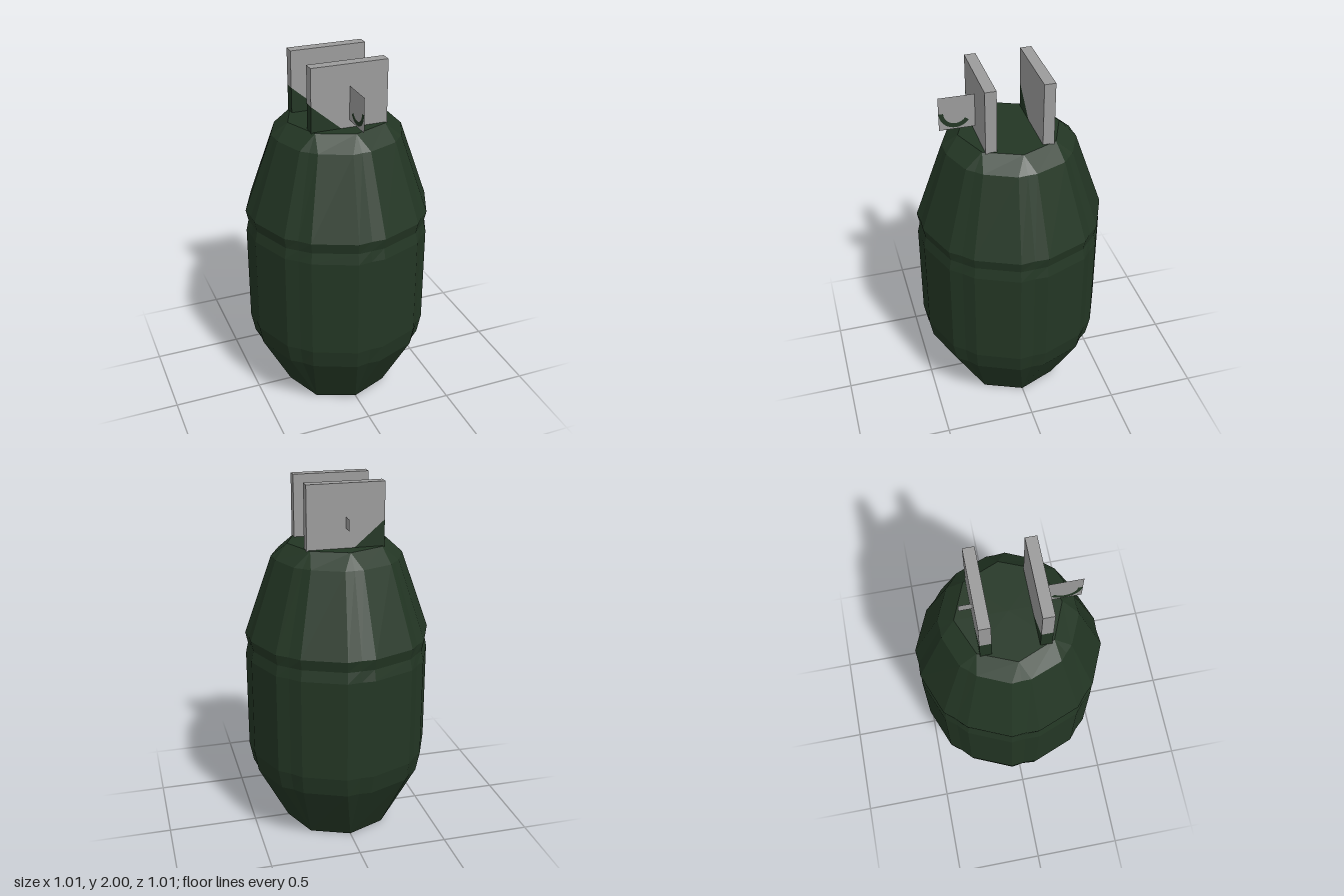
import * as THREE from 'three';

const green = new THREE.MeshStandardMaterial({ color: 0x233624, side: THREE.DoubleSide });
green.name = 'dark green';
const grey = new THREE.MeshStandardMaterial({ color: 0x9b9b9b, side: THREE.DoubleSide });
grey.name = 'steel grey';

function addMesh(group, name, geometry, material) {
  const mesh = new THREE.Mesh(geometry, material);
  mesh.name = name;
  group.add(mesh);
  return mesh;
}

// Eight-panelled shell: each panel corner splits into a shallow groove of three points
function bodyGeometry() {
  // height, panel radius, groove half angle in degrees, groove radius
  const rings = [
    [0, 0.3, 0, 0.3],
    [0.36, 0.49, 8, 0.475],
    [0.47, 0.511, 8.5, 0.498],
    [1.03, 0.511, 8.5, 0.498],
    [1.09, 0.498, 8.5, 0.49],
    [1.15, 0.511, 8.5, 0.498],
    [1.585, 0.358, 8, 0.35],
    [1.66, 0.275, 0, 0.275],
  ].map(([y, r, half, groove]) => {
    const points = [];
    for (let k = 0; k < 8; k++) {
      for (const side of [-1, 0, 1]) {
        const a = THREE.MathUtils.degToRad(45 * k + side * half);
        const radius = side === 0 ? groove : side > 0 && half ? r - 0.005 : r;
        points.push(new THREE.Vector3(radius * Math.sin(a), y, radius * Math.cos(a)));
      }
    }
    return points;
  });

  const positions = [];
  const triangle = (a, b, c) => {
    if (a.distanceTo(b) < 1e-5 || b.distanceTo(c) < 1e-5 || c.distanceTo(a) < 1e-5) return;
    for (const p of [a, b, c]) positions.push(p.x, p.y, p.z);
  };
  const bottom = new THREE.Vector3(0, 0, 0);
  const top = new THREE.Vector3(0, 1.66, 0);
  const last = rings[rings.length - 1];
  for (let i = 0; i < 24; i++) {
    const j = (i + 1) % 24;
    for (let k = 0; k < rings.length - 1; k++) {
      const lower = rings[k], upper = rings[k + 1];
      triangle(lower[i], lower[j], upper[j]);
      triangle(lower[i], upper[j], upper[i]);
    }
    triangle(bottom, rings[0][j], rings[0][i]);
    triangle(top, last[i], last[j]);
  }
  const geometry = new THREE.BufferGeometry();
  geometry.setAttribute('position', new THREE.Float32BufferAttribute(positions, 3));
  geometry.computeVertexNormals();
  return geometry;
}

// Flat outline given a thickness in z
function slab(points, z, depth) {
  const shape = new THREE.Shape(points.map(([x, y]) => new THREE.Vector2(x, y)));
  return new THREE.ExtrudeGeometry(shape, { depth, bevelEnabled: false }).translate(0, 0, z);
}

// Upright sheet in the x = 0 plane
function sheet(group, name, z0, z1, y0, y1) {
  const geometry = new THREE.PlaneGeometry(Math.abs(z1 - z0), y1 - y0).rotateY(Math.PI / 2);
  geometry.translate(0, (y0 + y1) / 2, (z0 + z1) / 2);
  addMesh(group, name, geometry, grey);
}

export function createModel() {
  const model = new THREE.Group();
  model.name = 'canister';
  addMesh(model, 'body', bodyGeometry(), green);

  // Pair of upright plates, each with one green lower corner
  for (const [name, z] of [['frontPlate', 0.12], ['backPlate', -0.18]]) {
    const plate = new THREE.Group();
    plate.name = name;
    addMesh(plate, 'platePanel',
      slab([[-0.04, 1.655], [0.21, 1.655], [0.21, 2], [-0.21, 2], [-0.21, 1.8]], z, 0.06), grey);
    addMesh(plate, 'plateCorner', slab([[-0.21, 1.655], [-0.04, 1.655], [-0.21, 1.8]], z, 0.06), green);
    model.add(plate);
  }

  // Thin tabs standing out from the plates
  sheet(model, 'frontTab', 0.18, 0.37, 1.7, 1.885);
  sheet(model, 'backTab', -0.245, -0.18, 1.765, 1.825);

  // Painted arc on both faces of the front tab
  for (const x of [-0.002, 0.002]) {
    const arc = new THREE.RingGeometry(0.062, 0.086, 14, 1, Math.PI, Math.PI * 0.8);
    arc.rotateY(Math.PI / 2).translate(x, 1.795, 0.283);
    addMesh(model, 'tabArc', arc, green);
  }
  return model;
}
